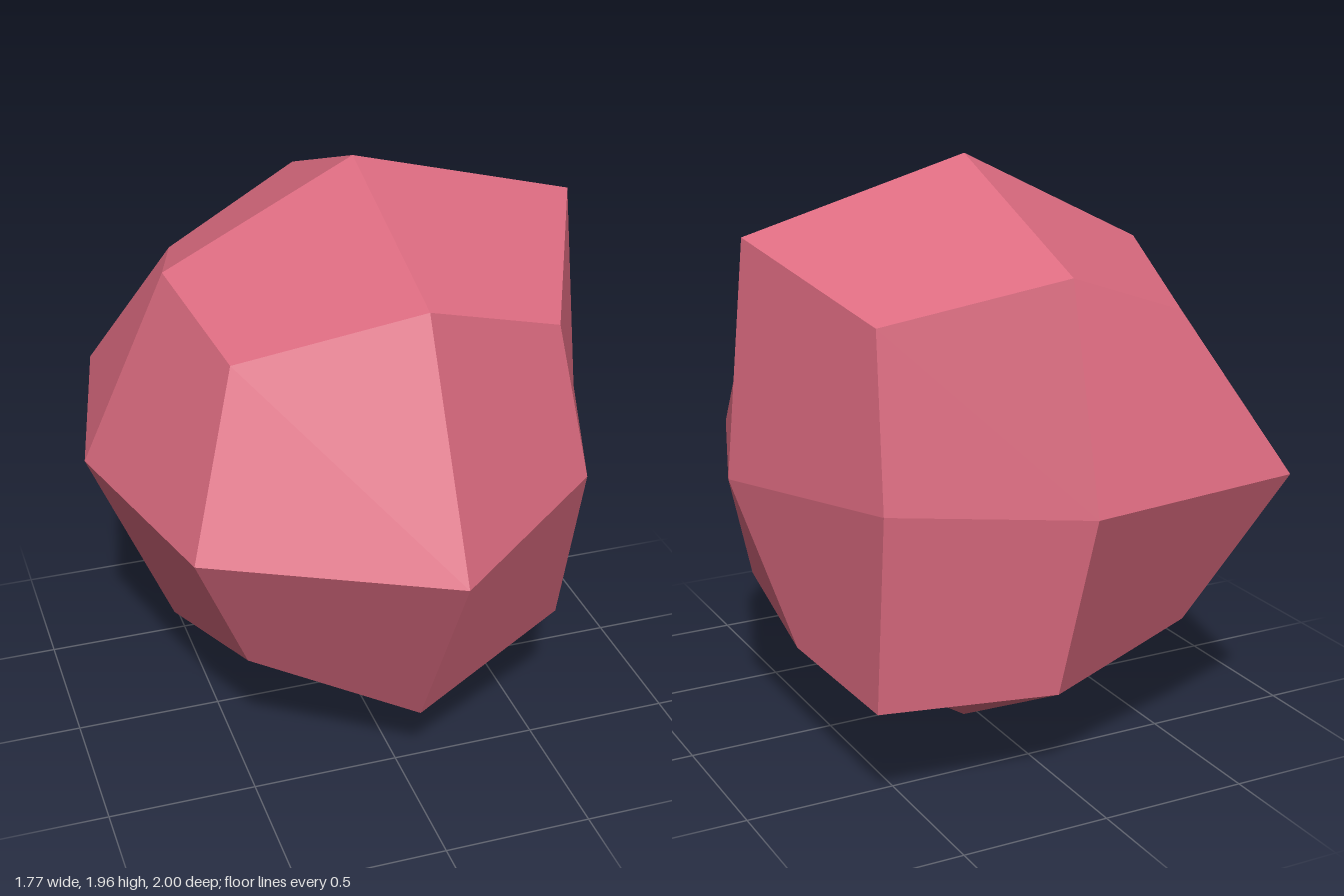
import * as THREE from 'three';

// Offset of each point from the centre along its direction (signs of x, y, z).
const CENTRE = new THREE.Vector3(0.05, 0.99, -0.13);
const OFFSETS = {
  // poles
  '1,0,0': 0.835, '-1,0,0': 0.94, '0,1,0': 0.97, '0,-1,0': 0.99, '0,0,1': 1.13, '0,0,-1': 0.87,
  // edge midpoints
  '1,1,0': 0.765, '-1,1,0': 0.645, '1,-1,0': 0.617, '-1,-1,0': 0.663,
  '0,1,1': 0.74, '0,1,-1': 0.697, '0,-1,1': 0.735, '0,-1,-1': 0.65,
  '1,0,1': 0.613, '-1,0,1': 0.75, '1,0,-1': 0.555, '-1,0,-1': 0.768,
  // corners
  '1,1,1': 0.525, '-1,1,1': 0.573, '1,1,-1': 0.588, '-1,1,-1': 0.508,
  '1,-1,1': 0.555, '-1,-1,1': 0.537, '1,-1,-1': 0.607, '-1,-1,-1': 0.535,
};

const point = (dir) =>
  new THREE.Vector3(...dir).multiplyScalar(OFFSETS[dir.join(',')]).add(CENTRE);

function rockGeometry() {
  const positions = [], normals = [];

  // Four-sided facet, split along its shorter diagonal and shaded as one flat face
  const addFacet = (a, b, c, d) => {
    const normal = c.clone().sub(a).cross(d.clone().sub(b)).normalize();
    const corners = a.distanceTo(c) <= b.distanceTo(d) ? [a, b, c, a, c, d] : [a, b, d, b, c, d];
    for (const p of corners) {
      positions.push(p.x, p.y, p.z);
      normals.push(normal.x, normal.y, normal.z);
    }
  };

  // Three facets per octant, each from a pole to the octant's corner
  for (const x of [-1, 1]) for (const y of [-1, 1]) for (const z of [-1, 1]) {
    const corner = [x, y, z];
    for (let i = 0; i < 3; i++) {
      const j = (i + 1) % 3, k = (i + 2) % 3;
      const keep = (...axes) => point(corner.map((s, n) => (axes.includes(n) ? s : 0)));
      const pole = keep(i), e1 = keep(i, j), tip = point(corner), e2 = keep(i, k);
      if (x * y * z > 0) addFacet(pole, e1, tip, e2);
      else addFacet(pole, e2, tip, e1);
    }
  }

  const geometry = new THREE.BufferGeometry();
  geometry.setAttribute('position', new THREE.Float32BufferAttribute(positions, 3));
  geometry.setAttribute('normal', new THREE.Float32BufferAttribute(normals, 3));
  return geometry;
}

export function createModel() {
  const group = new THREE.Group();
  group.name = 'facetedRock';
  const rose = new THREE.MeshStandardMaterial({ color: 0xdc6b80 });
  rose.name = 'rose';
  const rock = new THREE.Mesh(rockGeometry(), rose);
  rock.name = 'rock';
  group.add(rock);
  return group;
}
